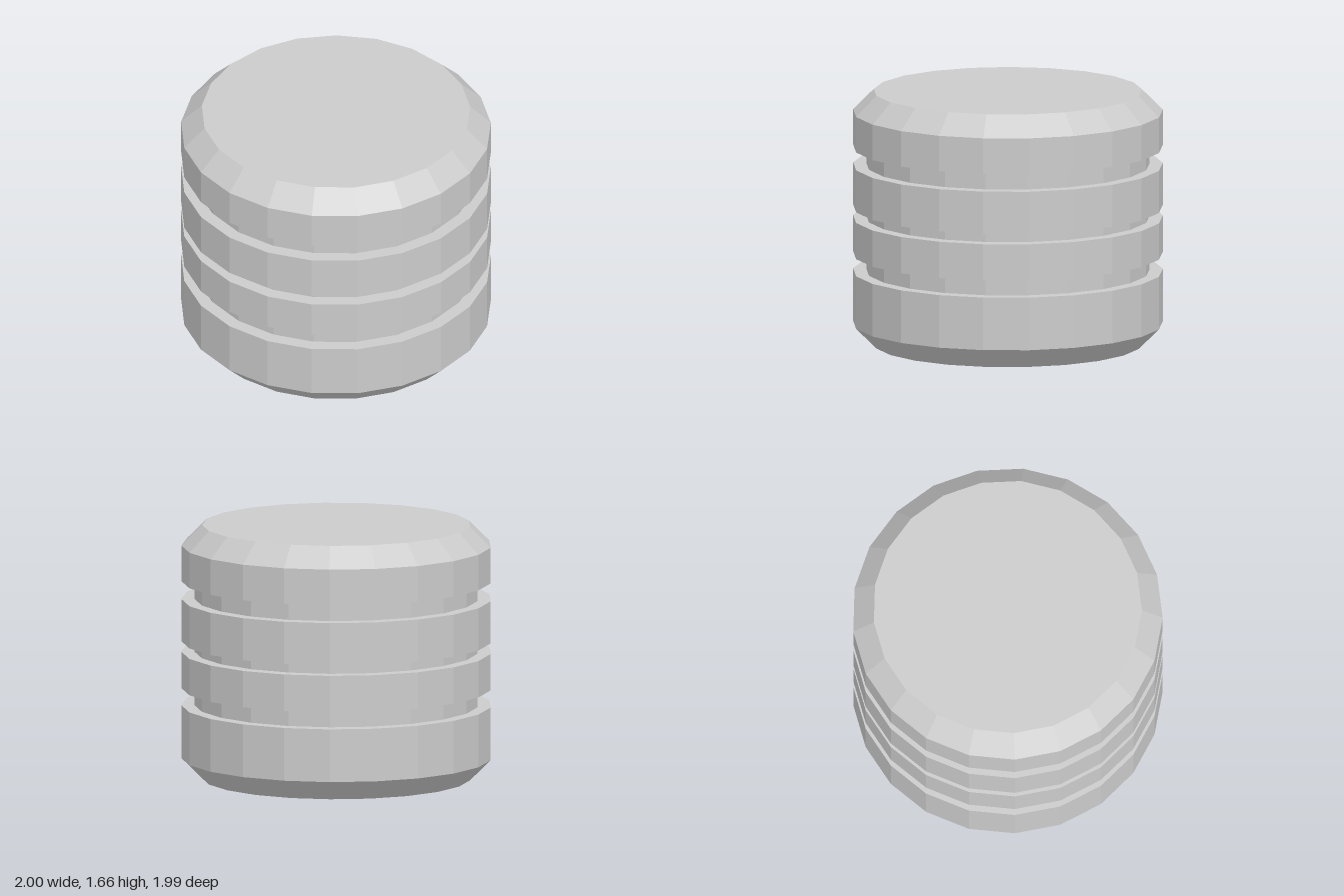
import * as THREE from 'three';

const SIDES = 21;
const R = 1.003;        // outer radius
const GROOVE_R = 0.918; // radius at the bottom of the grooves
const HEIGHT = 1.658;
const CHAMFER = 0.134;
// lower and upper edge of each groove
const GROOVES = [[0.479, 0.591], [0.829, 0.898], [1.174, 1.291]];

export function createModel() {
  const group = new THREE.Group();
  group.name = 'groovedDrum';

  // Profile from the bottom centre to the top centre
  const profile = [[0, 0], [R - CHAMFER, 0], [R, CHAMFER]];
  for (const [low, high] of GROOVES) {
    profile.push([R, low], [GROOVE_R, low], [GROOVE_R, high], [R, high]);
  }
  profile.push([R, HEIGHT - CHAMFER], [R - CHAMFER, HEIGHT], [0, HEIGHT]);

  // Faceted drum with one corner at the back and a flat facet in front
  const geometry = new THREE.LatheGeometry(
    profile.map(([x, y]) => new THREE.Vector2(x, y)), SIDES, Math.PI);
  const material = new THREE.MeshStandardMaterial({ color: 0xcccccc, flatShading: true });
  const drum = new THREE.Mesh(geometry, material);
  drum.name = 'drumBody';
  drum.position.z = R * (1 - Math.cos(Math.PI / SIDES)) / 2; // centre the odd-sided outline
  group.add(drum);

  return group;
}
